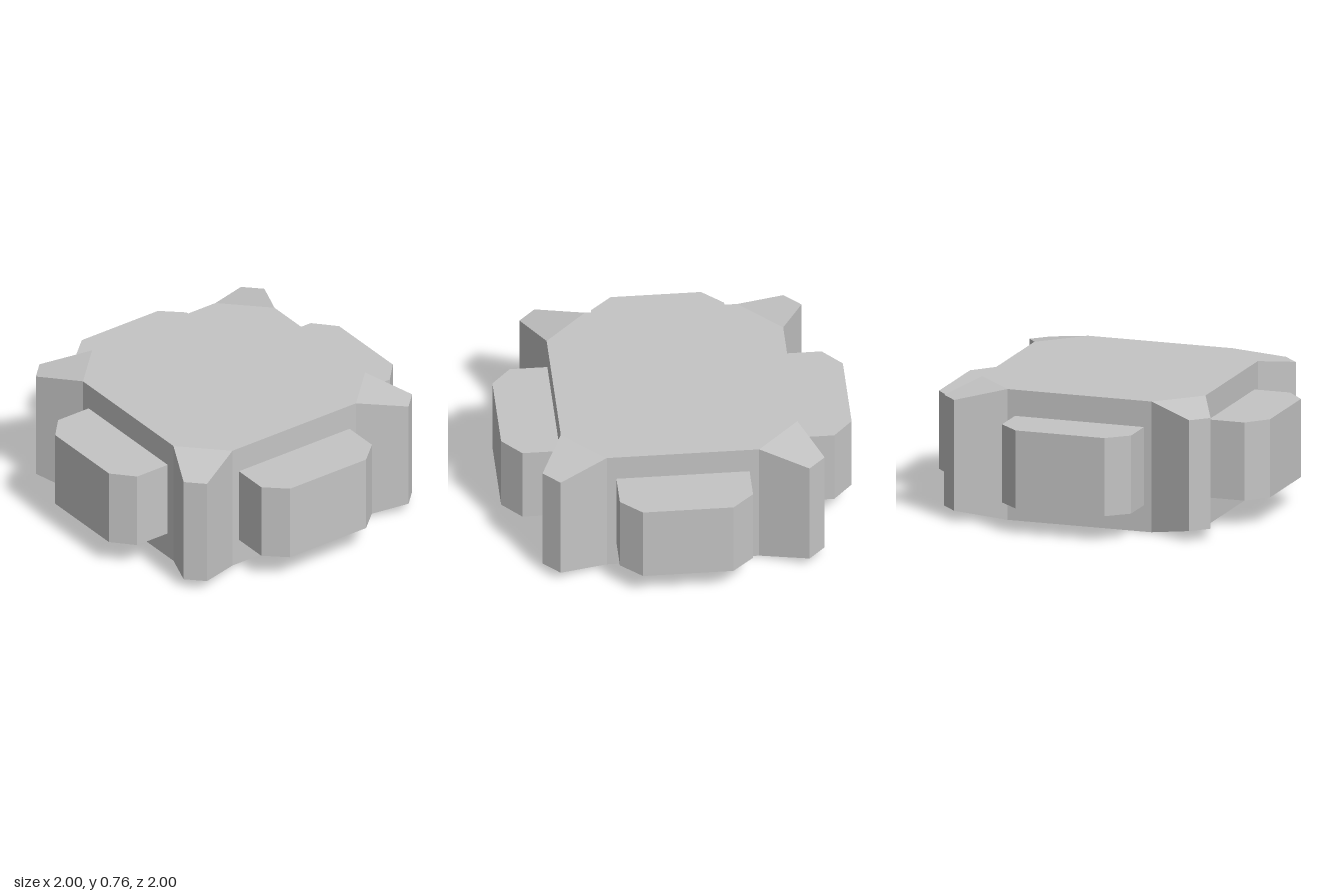
import * as THREE from 'three';
import { ConvexGeometry } from 'three/addons/geometries/ConvexGeometry.js';

const HEIGHT = 0.765;
const SIDE = 0.675;   // distance from centre to a main side
const CUT = 0.435;    // where each side meets its corner

// Extrude a plan outline of [x, z] points between two heights
function prism(points, y0, y1) {
  const shape = new THREE.Shape(points.map(([x, z]) => new THREE.Vector2(x, z)));
  const geo = new THREE.ExtrudeGeometry(shape, { depth: y1 - y0, bevelEnabled: false });
  geo.rotateX(Math.PI / 2);
  geo.translate(0, y1, 0);
  return geo;
}

export function createModel() {
  const group = new THREE.Group();
  const grey = new THREE.MeshStandardMaterial({ color: 0xc4c4c4 });
  grey.name = 'lightGrey';

  const add = (name, geo, angle = 0) => {
    const mesh = new THREE.Mesh(geo, grey);
    mesh.name = name;
    mesh.rotation.y = angle;
    group.add(mesh);
  };

  // Eight-sided central block
  add('body', prism([
    [SIDE, -CUT], [SIDE, CUT], [CUT, SIDE], [-CUT, SIDE],
    [-SIDE, CUT], [-SIDE, -CUT], [-CUT, -SIDE], [CUT, -SIDE],
  ], 0, HEIGHT));

  // Tapered corner fin, full height at the body and shorter at its tip
  const fin = new ConvexGeometry([
    [SIDE, 0, CUT], [CUT, 0, SIDE], [SIDE, HEIGHT, CUT], [CUT, HEIGHT, SIDE],
    [0.805, 0.06, 0.71], [0.71, 0.06, 0.805], [0.805, 0.708, 0.71], [0.71, 0.708, 0.805],
  ].map((p) => new THREE.Vector3(...p)));

  // Chamfered pad on each side
  const pad = (w) => prism([
    [-w, SIDE], [w, SIDE], [w, 0.89], [w - 0.122, 1], [-w + 0.122, 1], [-w, 0.89],
  ], 0.155, 0.612);

  const padNames = ['frontPad', 'leftPad', 'backPad', 'rightPad'];
  const finNames = ['frontLeftFin', 'backLeftFin', 'backRightFin', 'frontRightFin'];
  for (let i = 0; i < 4; i++) {
    const angle = i * Math.PI / 2;
    add(padNames[i], pad(i % 2 ? 0.38 : 0.39), angle);
    add(finNames[i], fin, angle);
  }
  return group;
}
